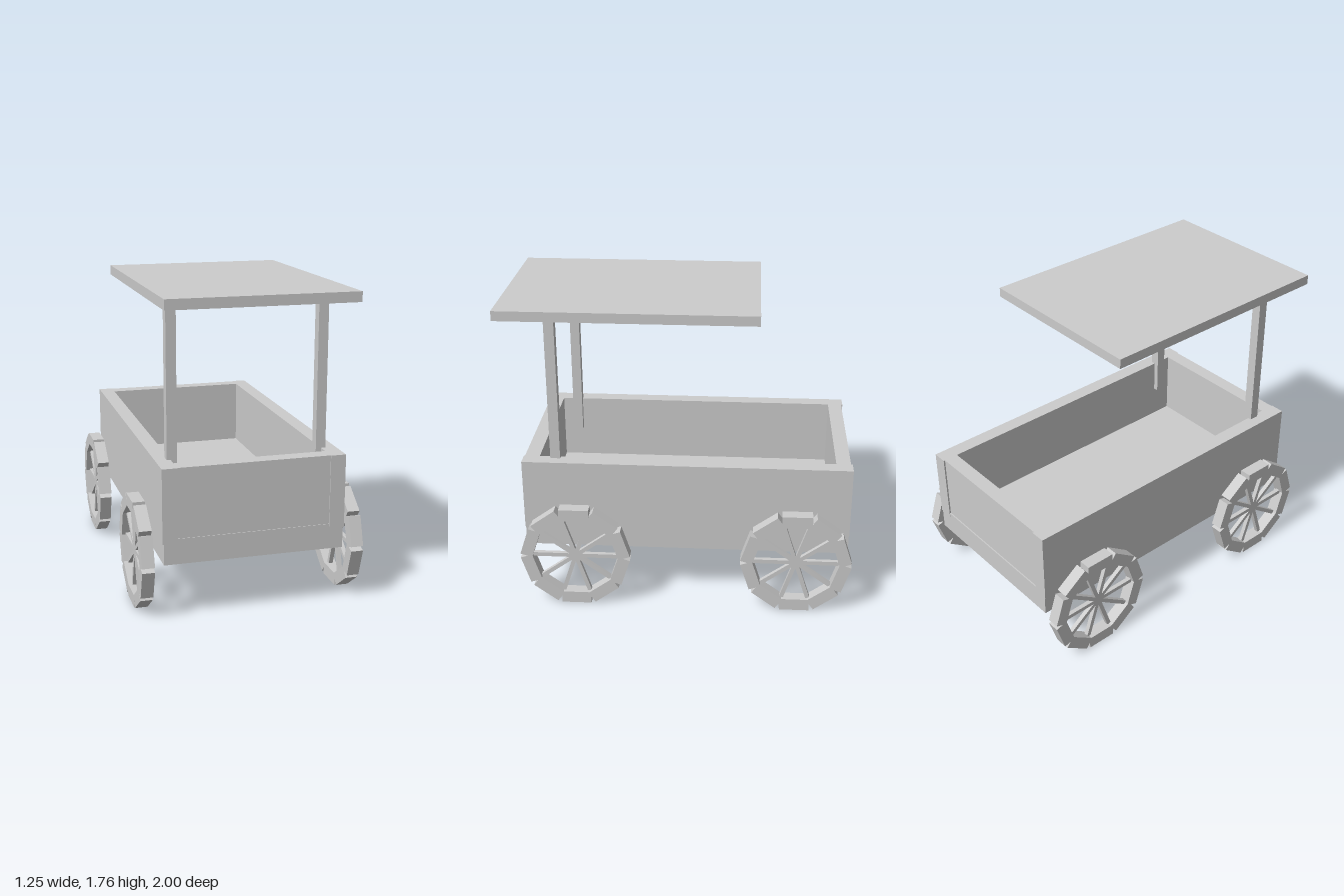
import * as THREE from 'three';

const wood = new THREE.MeshStandardMaterial({ color: 0xcccccc });
wood.name = 'plain grey';

// Box given by its minimum and maximum on each axis
function slab(name, [x0, x1], [y0, y1], [z0, z1]) {
  const mesh = new THREE.Mesh(new THREE.BoxGeometry(x1 - x0, y1 - y0, z1 - z0), wood);
  mesh.name = name;
  mesh.position.set((x0 + x1) / 2, (y0 + y1) / 2, (z0 + z1) / 2);
  return mesh;
}

// Ten-sided wheel of straight rim blocks, notched at the outer corners, with thin spokes
function wheel(name, x, z) {
  const group = new THREE.Group();
  group.name = name;
  group.position.set(x, 0.307, z);
  const outer = 0.307, inner = 0.236, width = 0.07;
  const block = new THREE.BoxGeometry(width, outer - inner, 0.172);
  block.translate(0, (outer + inner) / 2, 0);
  const rod = new THREE.BoxGeometry(0.025, 0.25, 0.024);
  rod.translate(0, 0.125, 0);
  for (let i = 0; i < 10; i++) {
    const rim = new THREE.Mesh(block, wood);
    rim.name = 'rimBlock';
    rim.rotation.x = i * Math.PI / 5;
    const spoke = new THREE.Mesh(rod, wood);
    spoke.name = 'spoke';
    spoke.rotation.x = (i + 0.5) * Math.PI / 5;
    group.add(rim, spoke);
  }
  return group;
}

export function createModel() {
  const cart = new THREE.Group();
  cart.name = 'cart';

  // Open box body
  cart.add(
    slab('floor', [-0.508, 0.505], [0.322, 0.465], [-0.987, 0.89]),
    slab('rightSide', [-0.515, -0.43], [0.44, 0.857], [-0.989, 0.892]),
    slab('leftSide', [0.425, 0.511], [0.44, 0.857], [-0.989, 0.892]),
    slab('frontPanel', [-0.43, 0.425], [0.465, 0.857], [0.8, 0.886]),
    slab('backPanel', [-0.43, 0.425], [0.465, 0.857], [-0.98, -0.897]),
  );

  // Canopy on two posts that reach down inside the side boards
  cart.add(slab('canopy', [-0.518, 0.528], [1.704, 1.76], [-0.445, 1]));
  for (const [name, x] of [['rightPost', -0.423], ['leftPost', 0.423]]) {
    cart.add(slab(name, [x - 0.028, x + 0.028], [0.66, 1.71], [0.678, 0.735]));
  }

  // Wheels
  for (const [end, z] of [['front', 0.588], ['back', -0.685]]) {
    cart.add(wheel(end + 'RightWheel', -0.595, z), wheel(end + 'LeftWheel', 0.59, z));
  }
  return cart;
}
